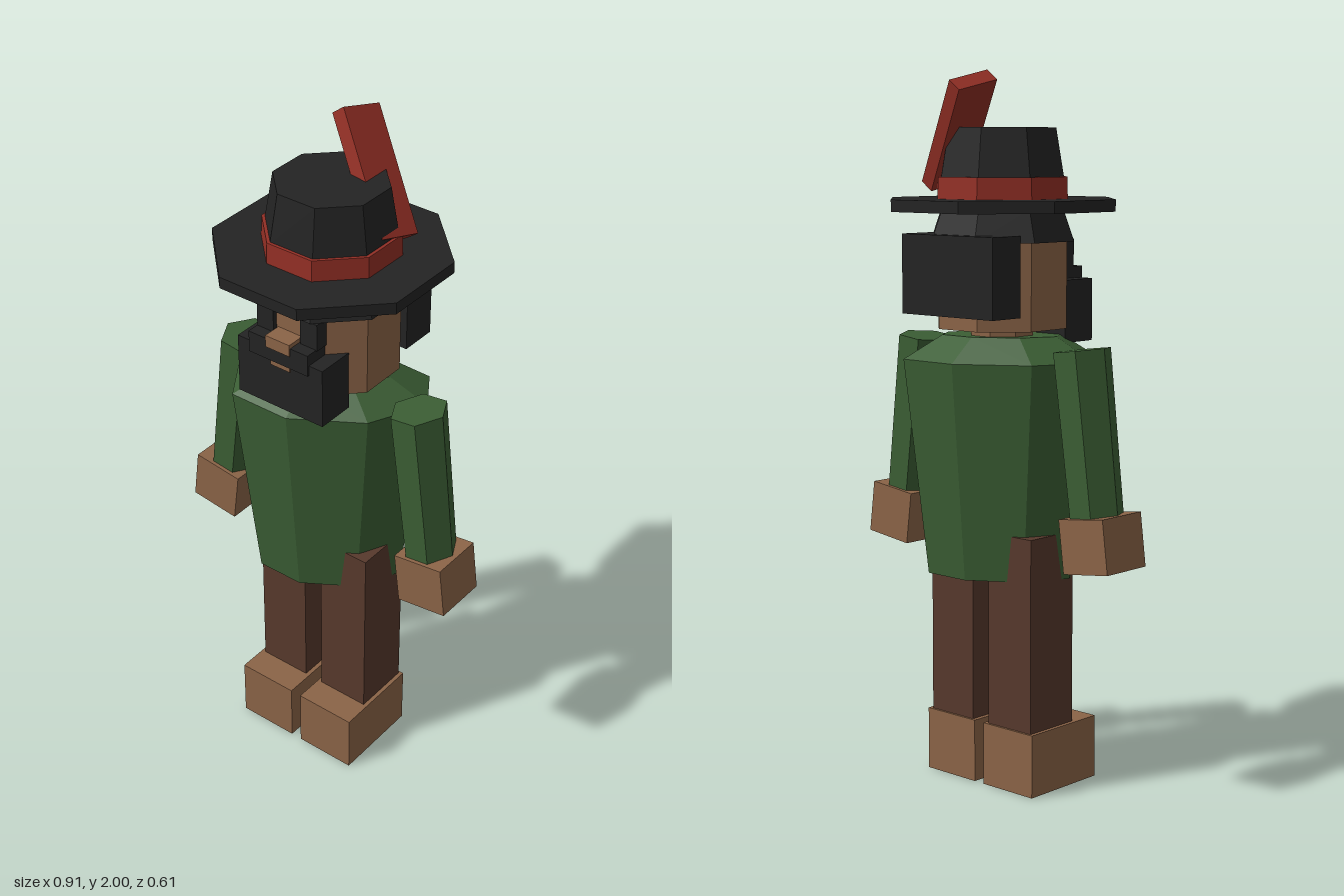
import * as THREE from 'three';

const mat = (name, color) => Object.assign(new THREE.MeshStandardMaterial({ color }), { name });

export function createModel() {
  const model = new THREE.Group();
  model.name = 'hattedFigure';
  const skin = mat('tan', 0x8b6447);
  const green = mat('coatGreen', 0x3b5e34);
  const brown = mat('trouserBrown', 0x57392c);
  const black = mat('black', 0x232323);
  const red = mat('red', 0x932f25);

  // Faceted mesh with one normal per face
  function add(name, geometry, material, parent = model) {
    const g = geometry.index ? geometry.toNonIndexed() : geometry;
    g.computeVertexNormals();
    const mesh = new THREE.Mesh(g, material);
    mesh.name = name;
    parent.add(mesh);
    return mesh;
  }
  // Box from its minimum and maximum along each axis
  function box(name, material, [x0, x1], [y0, y1], [z0, z1]) {
    const g = new THREE.BoxGeometry(x1 - x0, y1 - y0, z1 - z0);
    g.translate((x0 + x1) / 2, (y0 + y1) / 2, (z0 + z1) / 2);
    return add(name, g, material);
  }
  // Eight-sided frustum with a flat front; sizes are centre-to-side distances
  function octagon(name, material, y0, y1, bottom, top = bottom) {
    const k = 1 / Math.cos(Math.PI / 8);
    const g = new THREE.CylinderGeometry(top * k, bottom * k, y1 - y0, 8);
    g.rotateY(Math.PI / 8).translate(0, (y0 + y1) / 2, 0);
    return add(name, g, material);
  }

  // Coat: eight-sided rings, skewed along one diagonal
  const profile = [[0, 0.6], [0.2, 0.6], [0.265, 1.21], [0.16, 1.278], [0, 1.278]];
  const coat = new THREE.LatheGeometry(profile.map(([r, y]) => new THREE.Vector2(r, y)), 8);
  const p = coat.attributes.position;
  for (let i = 0; i < p.count; i++) {
    const r = Math.hypot(p.getX(i), p.getZ(i));
    const a = Math.atan2(p.getZ(i), p.getX(i));
    p.setX(i, r * Math.cos(a));
    p.setZ(i, r * 0.82 * Math.sin(a - Math.PI / 8));
  }
  add('coat', coat, green);

  // Limbs
  for (const [side, s] of [['left', 1], ['right', -1]]) {
    const span = (a, b) => (s > 0 ? [a, b] : [-b, -a]);
    box(side + 'Leg', brown, span(0.03, 0.19), [0.17, 0.73], [-0.088, 0.088]);
    box(side + 'Foot', skin, span(0.017, 0.202), [0, 0.18], [-0.095, 0.175]);

    const arm = new THREE.Group();
    arm.name = side + 'Arm';
    arm.position.set(s * 0.295, 1.255, 0);
    arm.rotation.z = s * 0.125;
    model.add(arm);
    const sleeve = new THREE.CylinderGeometry(0.078, 0.073, 0.46, 6);
    sleeve.rotateY(Math.PI / 6).scale(1, 1, 1.1).translate(0, -0.23, 0);
    add(side + 'Sleeve', sleeve, green, arm);
    const hand = new THREE.BoxGeometry(0.155, 0.15, 0.162);
    hand.translate(s * 0.01, -0.525, 0);
    add(side + 'Hand', hand, skin, arm);

    box(side + 'Eye', black, span(0.045, 0.1), [1.46, 1.54], [0.15, 0.19]);
  }

  // Head and face
  octagon('neck', skin, 1.22, 1.32, 0.085);
  octagon('head', skin, 1.3, 1.56, 0.176);
  box('backHair', black, [-0.17, 0.17], [1.34, 1.56], [-0.22, -0.11]);
  box('beard', black, [-0.143, 0.141], [1.255, 1.43], [0.105, 0.22]);
  box('moustache', black, [-0.1, 0.097], [1.4, 1.463], [0.15, 0.226]);
  box('nose', skin, [-0.04, 0.04], [1.44, 1.475], [0.15, 0.23]);
  box('mouth', skin, [-0.03, 0.035], [1.385, 1.402], [0.216, 0.223]);

  // Hat
  octagon('hatLower', black, 1.54, 1.63, 0.195, 0.165);
  octagon('hatBrim', black, 1.622, 1.655, 0.304);
  octagon('hatBand', red, 1.65, 1.715, 0.178, 0.176);
  octagon('hatCrown', black, 1.71, 1.848, 0.168, 0.146);

  // Feather: a plank leaning across the crown
  const top = new THREE.Vector3(-0.045, 1.973, -0.16);
  const base = new THREE.Vector3(0.16, 1.702, -0.06);
  const along = base.clone().sub(top);
  const length = along.length();
  along.normalize();
  const across = new THREE.Vector3(0.02, -0.027, -0.125);
  across.addScaledVector(along, -across.dot(along)).normalize();
  const through = along.clone().cross(across);
  const feather = new THREE.BoxGeometry(length, 0.13, 0.045);
  feather.applyMatrix4(new THREE.Matrix4().makeBasis(along, across, through)
    .setPosition(top.add(base).multiplyScalar(0.5)));
  add('feather', feather, red);

  return model;
}
